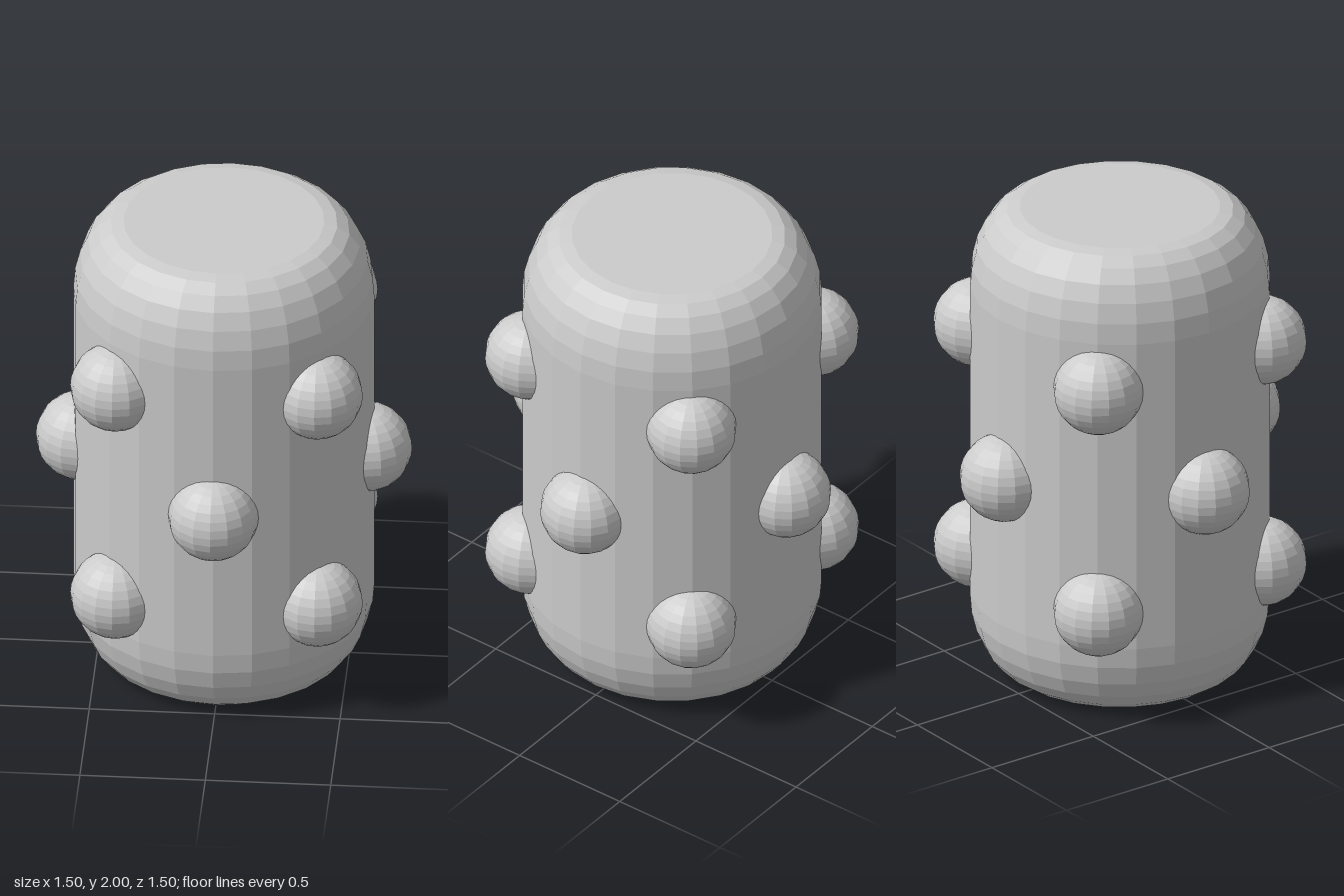
import * as THREE from 'three';

export function createModel() {
  const group = new THREE.Group();
  const material = new THREE.MeshStandardMaterial({ color: 0xcccccc, flatShading: true });

  // Body: 24-sided drum with elliptical shoulders at both ends
  const radius = 0.6, height = 2, bevelX = 0.2, bevelY = 0.333, steps = 6;
  const lower = [], upper = [];
  for (let i = 0; i <= steps; i++) {
    const a = (i / steps) * Math.PI / 2;
    const r = radius - bevelX + bevelX * Math.sin(a);
    const y = bevelY * (1 - Math.cos(a));
    lower.push(new THREE.Vector2(r, y));
    upper.unshift(new THREE.Vector2(r, height - y));
  }
  const profile = [new THREE.Vector2(0, 0), ...lower, ...upper, new THREE.Vector2(0, height)];
  const body = new THREE.Mesh(new THREE.LatheGeometry(profile, 24), material);
  body.name = 'body';
  group.add(body);

  // Knobs: half-sunk balls in three staggered rings of four
  const knobGeometry = new THREE.SphereGeometry(0.18, 16, 16);
  const knobDistance = 0.57;
  const rings = [
    { name: 'lowerKnob', y: 0.485, turn: Math.PI / 4 },
    { name: 'middleKnob', y: 0.97, turn: 0 },
    { name: 'upperKnob', y: 1.455, turn: Math.PI / 4 },
  ];
  for (const { name, y, turn } of rings) {
    for (let i = 0; i < 4; i++) {
      const a = turn + i * Math.PI / 2;
      const knob = new THREE.Mesh(knobGeometry, material);
      knob.position.set(knobDistance * Math.sin(a), y, knobDistance * Math.cos(a));
      knob.rotation.y = a;
      knob.name = name + (i + 1);
      group.add(knob);
    }
  }
  return group;
}
